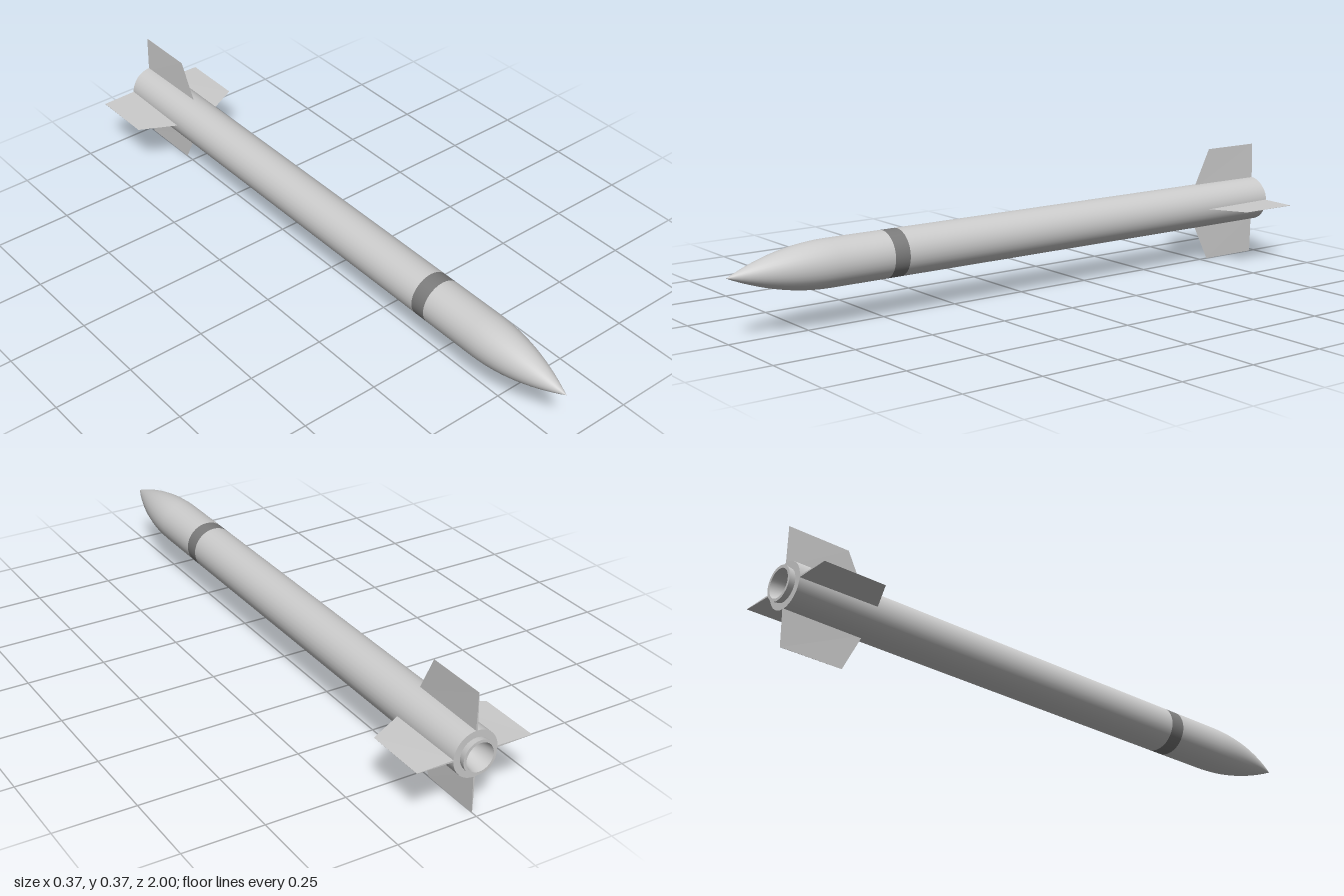
import * as THREE from 'three';
import { mergeGeometries } from 'three/addons/utils/BufferGeometryUtils.js';

const AXIS_Y = 0.185, R = 0.071, SIDES = 32;
const grey = new THREE.MeshStandardMaterial({ color: 0xcccccc });
const dark = new THREE.MeshStandardMaterial({ color: 0x7c7c7c });

// Turned part along z: each run of [radius, z] points is smooth, runs meet at sharp edges
function turned(name, runs, material = grey) {
  const parts = runs.map((run) =>
    new THREE.LatheGeometry(run.map(([r, z]) => new THREE.Vector2(r, z)), SIDES).rotateX(Math.PI / 2));
  const mesh = new THREE.Mesh(mergeGeometries(parts), material);
  mesh.name = name;
  return mesh;
}

// Wedge-section fin pointing along +y, thin at the leading edge and at the tip
function finGeometry() {
  const station = (y, lead, half) => [
    [0, y, lead], [half, y, -0.98], [-half, y, -0.98],
  ];
  const root = station(0.06, -0.716, 0.003), tip = station(0.185, -0.78, 0.0006);
  const pos = [];
  const tri = (a, b, c) => pos.push(...a, ...b, ...c);
  for (let i = 0; i < 3; i++) {
    const j = (i + 1) % 3;
    tri(root[i], root[j], tip[j]);
    tri(root[i], tip[j], tip[i]);
  }
  tri(tip[0], tip[1], tip[2]);
  const g = new THREE.BufferGeometry();
  g.setAttribute('position', new THREE.Float32BufferAttribute(pos, 3));
  g.computeVertexNormals();
  return g;
}

export function createModel() {
  const model = new THREE.Group();
  const rocket = new THREE.Group();
  rocket.name = 'rocket';
  rocket.position.y = AXIS_Y;
  model.add(rocket);

  // Body tube with its rear ring, and the coloured band
  rocket.add(turned('body', [
    [[0.044, -0.98], [R, -0.98]],
    [[R, -0.98], [R, 0.45]],
  ]));
  rocket.add(turned('band', [[[R, 0.45], [R, 0.5]]], dark));

  // Curved nose running out of a short straight section
  const nose = [[R, 0.5]];
  for (let i = 0; i <= 16; i++) {
    const t = i / 16;
    nose.push([R * (1 - t * t), 0.68 + 0.32 * t]);
  }
  rocket.add(turned('noseCone', [nose]));

  // Hollow exhaust nozzle
  rocket.add(turned('nozzle', [
    [[0, -0.93], [0.028, -0.93]],
    [[0.028, -0.93], [0.038, -0.965], [0.044, -1]],
    [[0.044, -1], [0.053, -1]],
    [[0.053, -1], [0.05, -0.98]],
  ]));

  // Four tail fins
  const fin = finGeometry();
  ['topFin', 'leftFin', 'bottomFin', 'rightFin'].forEach((name, i) => {
    const mesh = new THREE.Mesh(fin, grey);
    mesh.name = name;
    mesh.rotation.z = -i * Math.PI / 2;
    rocket.add(mesh);
  });
  return model;
}
